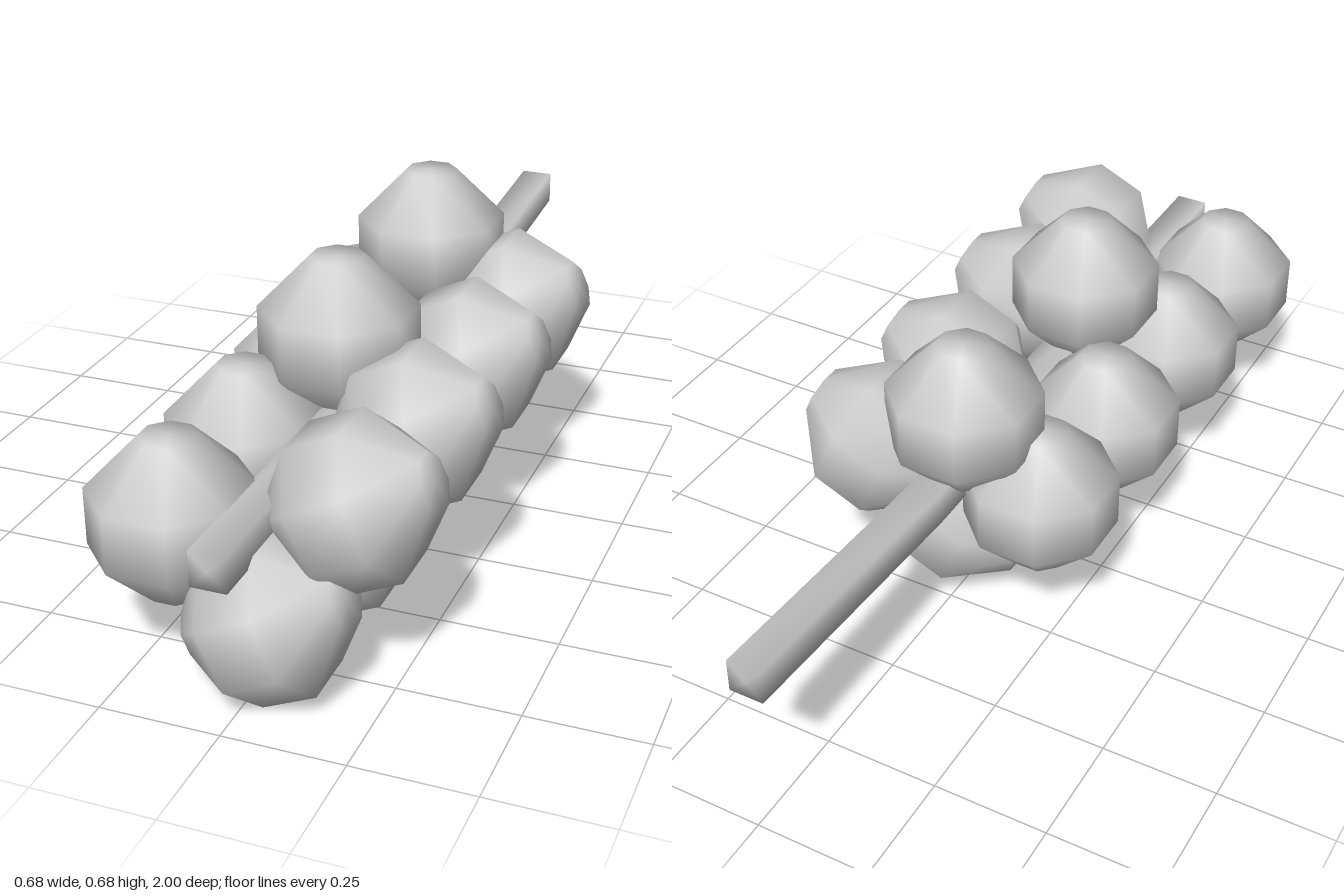
import * as THREE from 'three';
import { mergeVertices } from 'three/addons/utils/BufferGeometryUtils.js';

const material = new THREE.MeshStandardMaterial({ color: 0xcccccc });

// Eight-sided smooth fruit with flattened poles
function berryGeometry() {
  const profile = [[0, -0.168], [0.058, -0.168], [0.166, -0.06], [0.166, 0.06], [0.058, 0.168], [0, 0.168]]
    .map(([r, y]) => new THREE.Vector2(r, y));
  const geometry = new THREE.LatheGeometry(profile, 8, Math.PI / 8);
  return smooth(geometry);
}

// Weld all corners so the shading runs smoothly over the whole surface
function smooth(geometry) {
  geometry.deleteAttribute('normal');
  geometry.deleteAttribute('uv');
  const welded = mergeVertices(geometry, 1e-4);
  welded.computeVertexNormals();
  return welded;
}

// Square stem, straight through the cluster and bent upwards at the back
function stemGeometry() {
  const geometry = new THREE.CylinderGeometry(0.0525, 0.0525, 2, 4, 2);
  geometry.rotateY(Math.PI / 4).rotateX(Math.PI / 2);
  const p = geometry.attributes.position;
  for (let i = 0; i < p.count; i++) {
    if (Math.abs(p.getZ(i)) < 0.1) p.setZ(i, -0.36);
    else if (p.getZ(i) < 0) p.setY(i, p.getY(i) + 0.046);
  }
  return smooth(geometry);
}

export function createModel() {
  const model = new THREE.Group();
  model.name = 'berryCluster';

  const stem = new THREE.Mesh(stemGeometry(), material);
  stem.name = 'stem';
  stem.position.set(-0.008, 0.347, 0);
  model.add(stem);

  // Four rows of fruit around the stem
  const tilt = -1.15;
  const rows = [
    { name: 'rightRow', x: -0.185, y: 0.315, turn: 0, z: [0.787, 0.458, 0.125, -0.18] },
    { name: 'leftRow', x: 0.164, y: 0.38, turn: tilt, z: [0.728, 0.403, 0.068, -0.238] },
    { name: 'bottomRow', x: 0.03, y: 0.165, turn: tilt, z: [0.83, 0.504, -0.136] },
    { name: 'topRow', x: -0.035, y: 0.517, turn: 0, z: [0.318, -0.237] },
  ];
  const geometry = berryGeometry();
  for (const { name, x, y, turn, z } of rows) {
    const row = new THREE.Group();
    row.name = name;
    for (const depth of z) {
      const berry = new THREE.Mesh(geometry, material);
      berry.name = 'berry';
      berry.position.set(x, y, depth);
      berry.rotation.z = turn;
      row.add(berry);
    }
    model.add(row);
  }
  return model;
}
